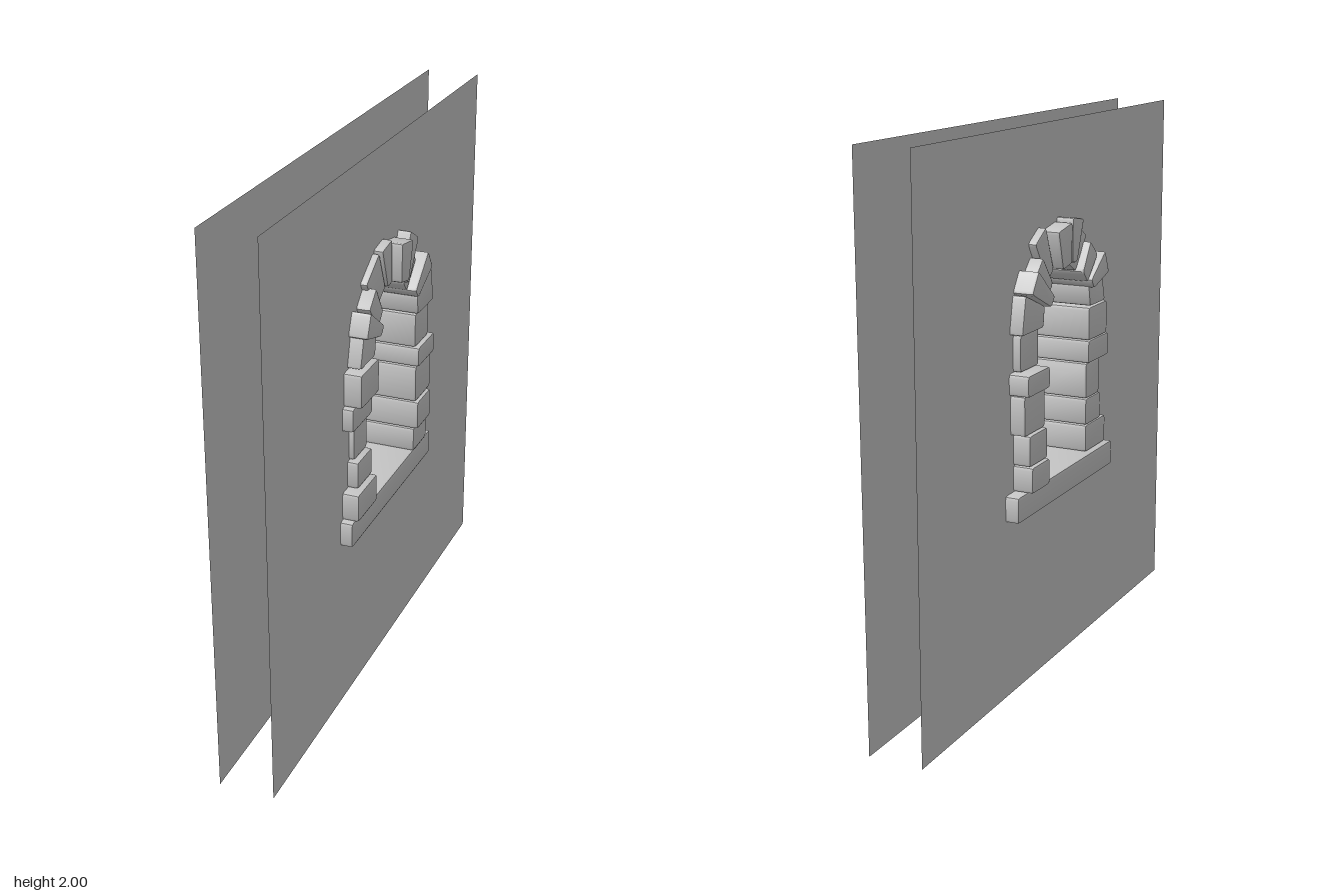
import * as THREE from 'three';
import { toCreasedNormals } from 'three/addons/utils/BufferGeometryUtils.js';

const BEVEL = 0.009, CORNER = 0.013;

// Polygon in the wall plane (points are [z, y]) with slightly rounded corners
function roundedShape(points) {
  const pts = points.map(([z, y]) => new THREE.Vector2(-z, y));
  const shape = new THREE.Shape();
  pts.forEach((p, i) => {
    const prev = pts[(i + pts.length - 1) % pts.length];
    const next = pts[(i + 1) % pts.length];
    const a = p.clone().add(prev.clone().sub(p).setLength(CORNER));
    const b = p.clone().add(next.clone().sub(p).setLength(CORNER));
    if (i === 0) shape.moveTo(a.x, a.y);
    else shape.lineTo(a.x, a.y);
    shape.quadraticCurveTo(p.x, p.y, b.x, b.y);
  });
  shape.closePath();
  return shape;
}

export function createModel() {
  const group = new THREE.Group();
  const stoneMaterial = new THREE.MeshStandardMaterial({ color: 0xcccccc });
  const wallMaterial = new THREE.MeshStandardMaterial({ color: 0xcccccc, side: THREE.DoubleSide });

  // Bevelled stone running through the wall from x0 to x1
  function addStone(name, points, x0, x1) {
    const geometry = new THREE.ExtrudeGeometry(roundedShape(points), {
      depth: x1 - x0 - 2 * BEVEL, curveSegments: 2,
      bevelEnabled: true, bevelSize: BEVEL, bevelThickness: BEVEL, bevelOffset: -BEVEL, bevelSegments: 2,
    });
    geometry.rotateY(Math.PI / 2).translate(x0 + BEVEL, 0, 0);
    const mesh = new THREE.Mesh(toCreasedNormals(geometry, 0.7), stoneMaterial);
    mesh.name = name;
    group.add(mesh);
  }
  const rect = (z0, z1, y0, y1) => [[z0, y0], [z1, y0], [z1, y1], [z0, y1]];

  // Two thin wall faces with an arched opening hidden behind the stones
  const wall = new THREE.Shape();
  wall.moveTo(-1, 0).lineTo(1, 0).lineTo(1, 2).lineTo(-1, 2).closePath();
  const opening = new THREE.Path();
  opening.moveTo(-0.23, 0.72).lineTo(0.23, 0.72).lineTo(0.23, 1.3);
  opening.absarc(0, 1.3, 0.23, 0, Math.PI, false);
  opening.closePath();
  wall.holes.push(opening);
  for (const side of [-1, 1]) {
    const face = new THREE.Mesh(new THREE.ShapeGeometry(wall, 16), wallMaterial);
    face.rotation.y = side * Math.PI / 2;
    face.position.x = side * 0.1;
    face.name = side > 0 ? 'wallFaceLeft' : 'wallFaceRight';
    group.add(face);
  }

  // Sill
  addStone('sill', rect(-0.4, 0.4, 0.655, 0.75), -0.15, 0.145);

  // Jamb stones: outer z, bottom y, top y, x range
  const frontJamb = [
    [0.38, 0.75, 0.855, -0.13, 0.16],
    [0.335, 0.855, 0.957, -0.13, 0.14],
    [0.32, 0.957, 1.093, -0.13, 0.12],
    [0.38, 1.093, 1.18, -0.14, 0.14],
    [0.365, 1.18, 1.305, -0.14, 0.165],
  ];
  const backJamb = [
    [0.34, 0.75, 0.845, -0.175, 0.15],
    [0.34, 0.845, 0.957, -0.165, 0.165],
    [0.36, 0.957, 1.1, -0.155, 0.155],
    [0.37, 1.1, 1.177, -0.175, 0.165],
    [0.34, 1.177, 1.308, -0.13, 0.15],
  ];
  frontJamb.forEach(([z, y0, y1, x0, x1], i) =>
    addStone(`frontJambStone${i + 1}`, rect(0.2, z, y0, y1), x0, x1));
  backJamb.forEach(([z, y0, y1, x0, x1], i) =>
    addStone(`backJambStone${i + 1}`, rect(-z, -0.2, y0, y1), x0, x1));

  // Arch wedges from the front springing over to the back: two outer corners, two inner corners
  const arch = [
    { x: [-0.145, 0.15], p: [[0.335, 1.31], [0.305, 1.425], [0.185, 1.39], [0.2, 1.31]] },
    { x: [-0.165, 0.17], p: [[0.325, 1.42], [0.29, 1.505], [0.165, 1.415], [0.19, 1.38]] },
    { x: [-0.15, 0.15], p: [[0.255, 1.495], [0.19, 1.555], [0.125, 1.45], [0.165, 1.405]] },
    { x: [-0.12, 0.125], p: [[0.22, 1.57], [0.1, 1.645], [0.04, 1.5], [0.125, 1.45]] },
    { x: [-0.165, 0.135], p: [[0.097, 1.65], [0.003, 1.665], [0, 1.505], [0.042, 1.5]] },
    { x: [-0.165, 0.17], p: [[0, 1.65], [-0.115, 1.63], [-0.075, 1.49], [0, 1.505]] },
    { x: [-0.13, 0.15], p: [[-0.14, 1.65], [-0.225, 1.6], [-0.13, 1.455], [-0.078, 1.49]] },
    { x: [-0.15, 0.13], p: [[-0.205, 1.555], [-0.255, 1.505], [-0.16, 1.41], [-0.125, 1.455]] },
    { x: [-0.175, 0.165], p: [[-0.29, 1.525], [-0.34, 1.45], [-0.19, 1.38], [-0.16, 1.415]] },
    { x: [-0.15, 0.16], p: [[-0.34, 1.447], [-0.367, 1.31], [-0.2, 1.31], [-0.19, 1.385]] },
  ];
  arch.forEach(({ x, p }, i) => addStone(`archStone${i + 1}`, p, x[0], x[1]));

  return group;
}
